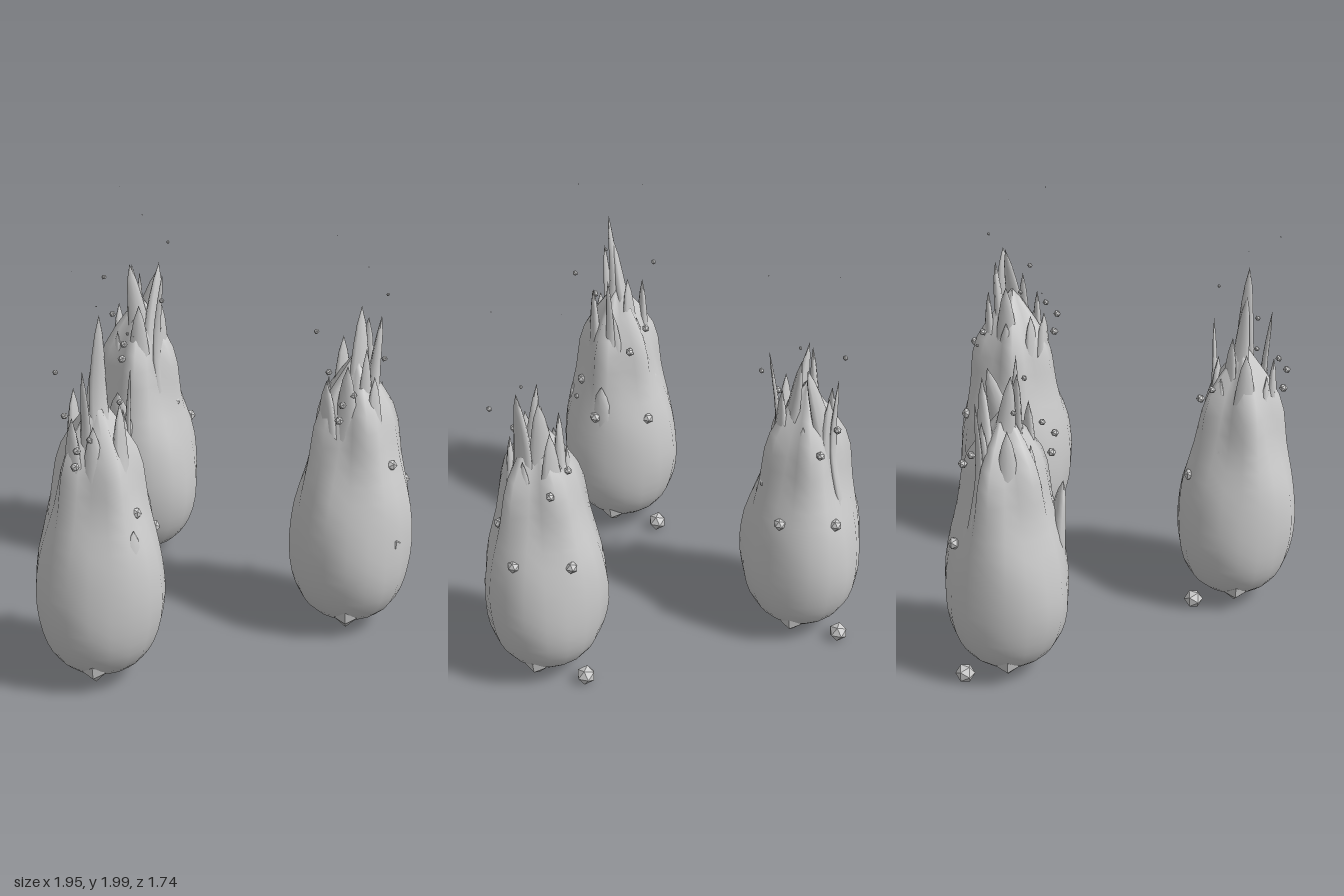
import * as THREE from 'three';

const mat = new THREE.MeshStandardMaterial({ color: 0xcccccc, side: THREE.DoubleSide });
const facetMat = new THREE.MeshStandardMaterial({ color: 0xcccccc, flatShading: true });

// Body profile as a smooth curve: x is the radius, y the height
const profile = new THREE.SplineCurve([
  [0, 0.045], [0.17, 0.1], [0.265, 0.23], [0.302, 0.43], [0.283, 0.68], [0.218, 0.93], [0.16, 1.19], [0, 1.46],
].map(([r, y]) => new THREE.Vector2(r, y))).getPoints(21);

function radiusAt(y) {
  const i = profile.findIndex(p => p.y >= y);
  return i < 0 ? 0 : Math.max(0, profile[i].x);
}

// Skin over rings of points; every ring has the same number of points
function loft(rings) {
  const n = rings[0].length, idx = [];
  for (let i = 0; i < rings.length - 1; i++) {
    for (let j = 0; j < n; j++) {
      const a = i * n + j, b = i * n + (j + 1) % n;
      idx.push(a, b, a + n, b, b + n, a + n);
    }
  }
  const g = new THREE.BufferGeometry().setFromPoints(rings.flat());
  g.setIndex(idx);
  g.computeVertexNormals();
  return g;
}

// Egg-shaped core, with folds that deepen toward the top
function bodyGeometry(seed) {
  const sides = 18;
  return loft(profile.map(({ x: r, y }) => {
    const ring = [];
    const up = THREE.MathUtils.smoothstep(y, 0.65, 1.25);
    const low = THREE.MathUtils.smoothstep(y, 0.15, 0.5);
    for (let j = 0; j < sides; j++) {
      const a = (j / sides) * Math.PI * 2;
      const dent = low * (0.025 * Math.sin(3 * a + seed * 2 + y * 4) + 0.02 * Math.sin(7 * a + seed - y * 5));
      const fold = 1 + dent + 0.2 * up * Math.sin(5 * a + seed * 3);
      ring.push(new THREE.Vector3(Math.cos(a) * r * fold, y, -Math.sin(a) * r * fold));
    }
    return ring;
  }));
}

// Flame tongue: flattened taper rising from the body on one side to a point.
// The side is an angle from +x toward +z, by default that of the tip.
function tongueGeometry([x, y, z, width, angle = Math.atan2(z, x)]) {
  const out = new THREE.Vector3(Math.cos(angle), 0, Math.sin(angle));
  const side = new THREE.Vector3(-out.z, 0, out.x);
  const along = (r, h) => out.clone().multiplyScalar(Math.max(0.02, r)).setY(h);
  const baseY = 0.65 * y - 0.18;
  const midY = THREE.MathUtils.lerp(baseY, y, 0.45);
  const midR = THREE.MathUtils.lerp(Math.hypot(x, z), radiusAt(midY), 0.5);
  const path = new THREE.CatmullRomCurve3([
    along(radiusAt(baseY) - width * 0.6, baseY), along(midR - width * 0.25, midY), new THREE.Vector3(x, y, z)]);
  const rings = [];
  for (let i = 0; i <= 10; i++) {
    const t = i / 10, c = path.getPoint(t);
    const w = width * Math.pow(1 - t, 0.7) * (0.8 + 0.8 * t);
    const ring = [];
    for (let j = 0; j < 8; j++) {
      const a = (j / 8) * Math.PI * 2;
      ring.push(c.clone().addScaledVector(out, Math.cos(a) * w * 0.5).addScaledVector(side, -Math.sin(a) * w));
    }
    rings.push(ring);
  }
  return loft(rings);
}

// Ember centres, shared by every flame; embers shrink as they rise
const embers = [
  [0.11, 0.05, -0.23], [0.12, 0.91, 0.17], [0.25, 0.77, 0.06], [0.17, 0.76, -0.2], [0.11, 0.53, 0.24],
  [0.17, 1.15, -0.11], [0.08, 1.25, -0.17], [-0.16, 1.18, 0.15], [-0.16, 1.27, 0.18], [-0.07, 1.28, 0.11],
  [-0.17, 1.39, 0.05], [-0.14, 1.52, -0.15], [0.03, 1.49, 0.22], [0.15, 1.72, 0.01],
  [-0.07, 1.95, 0.22], [-0.06, 1.998, -0.12],
];

// Chief tongues of each flame as [tip x, tip y, tip z, half width, side]
const leftTips = [
  [0.03, 1.67, -0.02, 0.08, 1.6], [0.095, 1.64, 0.06, 0.09, 0.6], [0.08, 1.6, -0.04, 0.09, -0.6],
  [-0.17, 1.34, 0.03, 0.11], [-0.02, 1.5, -0.1, 0.09], [0, 1.5, 0.1, 0.06],
];
const backTips = [
  [-0.06, 1.63, 0.01, 0.08, 1.9], [-0.04, 1.62, -0.01, 0.08, -1.9], [0.1, 1.62, 0.01, 0.09, 1.1],
  [0.11, 1.58, -0.02, 0.09, -1.1], [-0.2, 1.02, 0.19, 0.12], [0.05, 1.62, 0.18, 0.035], [0.06, 1.52, -0.16, 0.035],
];
const rightTips = [
  [0.005, 1.84, 0.04, 0.065, 1.5], [0, 1.7, 0.02, 0.07, -1.5], [-0.1, 1.61, 0.1, 0.04], [0.165, 1.55, 0, 0.035],
  [-0.14, 1.38, 0.06, 0.09], [0.23, 0.95, 0.03, 0.1], [0.08, 0.86, 0.24, 0.1], [0.03, 1.5, -0.06, 0.08],
];

// Lower tongues that ring every flame
function ringTips(seed) {
  return Array.from({ length: 6 }, (_, i) => {
    const a = (i / 6) * Math.PI * 2 + seed;
    return [0.13 * Math.cos(a), 1.36 + 0.09 * Math.sin(i * 2.3 + seed), 0.13 * Math.sin(a), 0.085];
  });
}

export function createModel() {
  const model = new THREE.Group();
  model.name = 'flames';
  const add = (group, name, geometry, material) => {
    const mesh = new THREE.Mesh(geometry, material);
    mesh.name = name;
    group.add(mesh);
    return mesh;
  };

  // Downward kite-shaped spur under the body
  const spur = new THREE.OctahedronGeometry(1, 0).scale(0.035, 0.095, 0.055);

  const addFlame = (name, x, z, seed, tips) => {
    const flame = new THREE.Group();
    flame.name = name;
    flame.position.set(x, 0, z);
    add(flame, 'body', bodyGeometry(seed), mat);
    [...tips, ...ringTips(seed)].forEach(t => add(flame, 'flameTongue', tongueGeometry(t), mat));

    // Three spurs spaced evenly around the bottom
    for (let i = 0; i < 3; i++) {
      const holder = new THREE.Group();
      holder.name = 'spurHolder';
      holder.rotation.y = (i / 3) * Math.PI * 2;
      const mesh = add(holder, 'spur', spur, facetMat);
      mesh.position.set(0.19, 0.122, 0);
      mesh.rotation.z = -0.58;
      flame.add(holder);
    }

    embers.forEach(([ex, ey, ez]) => {
      const ball = new THREE.IcosahedronGeometry(0.002 + 0.048 * (1 - ey / 2), 0);
      add(flame, 'ember', ball, facetMat).position.set(ex, ey, ez);
    });
    model.add(flame);
  };

  addFlame('rightFlame', -0.66, 0.56, 1, rightTips);
  addFlame('backFlame', 0, -0.59, 2, backTips);
  addFlame('leftFlame', 0.66, 0.54, 3.4, leftTips);
  return model;
}
